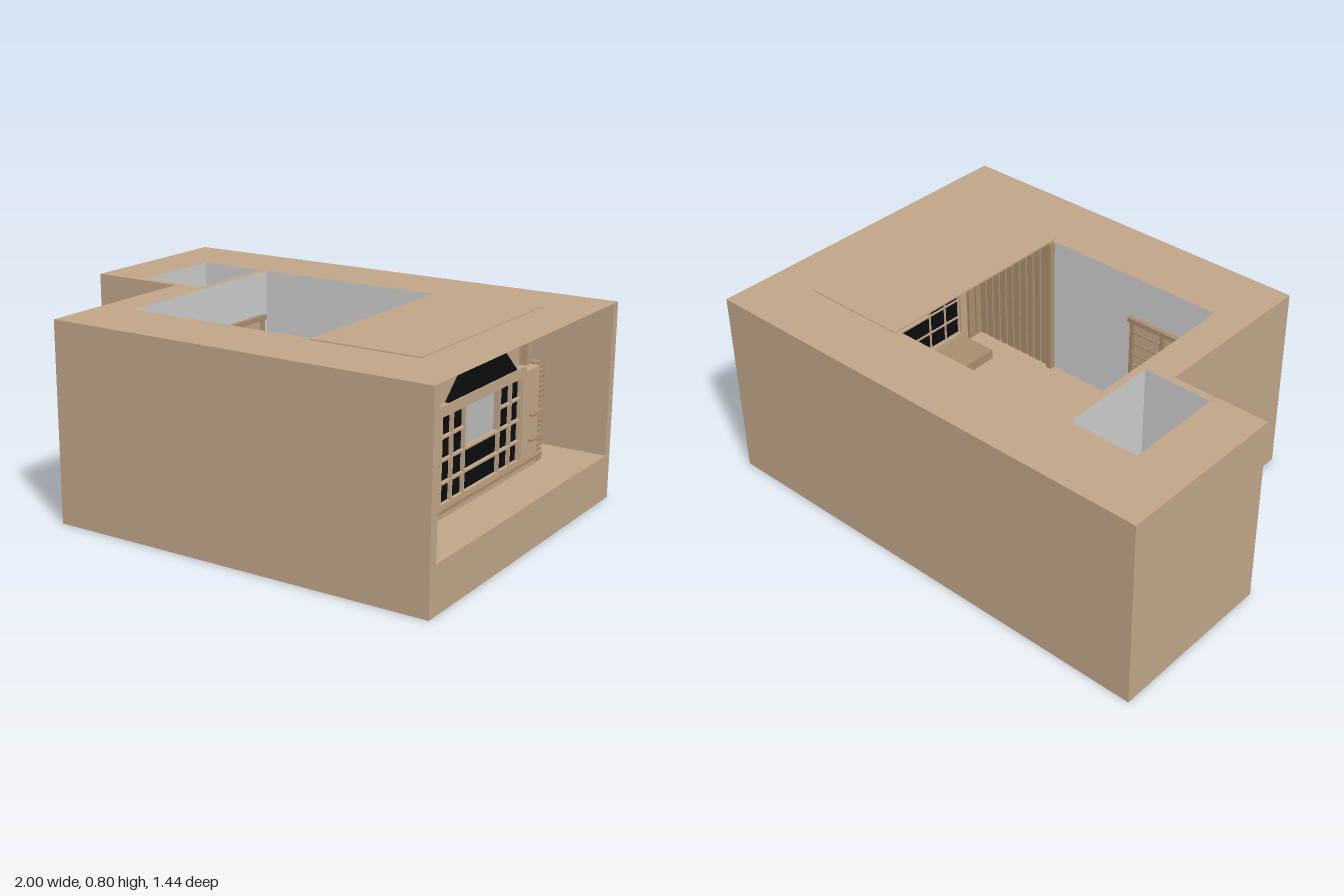
import * as THREE from 'three';

const mat = (color) => new THREE.MeshStandardMaterial({ color, side: THREE.DoubleSide, flatShading: true });

export function createModel() {
  const model = new THREE.Group();
  const tan = mat(0xc0a588), grey = mat(0xcccccc), dark = mat(0x0b0c0d), wood = mat(0xa88d6e);

  const add = (name, geo, m, parent = model) => {
    const mesh = new THREE.Mesh(geo, m);
    mesh.name = name;
    parent.add(mesh);
    return mesh;
  };
  // box given by its limits on each axis
  const box = (name, m, [x0, x1], [y0, y1], [z0, z1], parent) =>
    add(name, new THREE.BoxGeometry(x1 - x0, y1 - y0, z1 - z0)
      .translate((x0 + x1) / 2, (y0 + y1) / 2, (z0 + z1) / 2), m, parent);
  // closed band between two outlines [x, z] at two heights
  const band = (lo, y0, hi, y1, skip = -1) => {
    const p = [];
    lo.forEach((a, i) => {
      if (i === skip) return;
      const j = (i + 1) % lo.length, b = lo[j], c = hi[j], d = hi[i];
      p.push(a[0], y0, a[1], d[0], y1, d[1], c[0], y1, c[1],
        a[0], y0, a[1], c[0], y1, c[1], b[0], y0, b[1]);
    });
    const g = new THREE.BufferGeometry();
    g.setAttribute('position', new THREE.Float32BufferAttribute(p, 3));
    g.computeVertexNormals();
    return g;
  };
  const rect = (x0, x1, z0, z1) => [[x0, z0], [x1, z0], [x1, z1], [x0, z1]];
  const toShape = (pts, holes = []) => {
    const s = new THREE.Shape(pts.map(([a, b]) => new THREE.Vector2(a, b)));
    holes.forEach(h => s.holes.push(new THREE.Path(h.map(([a, b]) => new THREE.Vector2(a, b)))));
    return s;
  };
  // horizontal sheet from an [x, z] outline
  const sheet = (pts, y, holes) =>
    new THREE.ShapeGeometry(toShape(pts, holes)).rotateX(Math.PI / 2).translate(0, y, 0);
  // upright plate from a [z, y] outline, facing the +x end
  const plate = (pts, holes, x, t) =>
    new THREE.ExtrudeGeometry(toShape(pts.map(([z, y]) => [-z, y]),
      holes.map(h => h.map(([z, y]) => [-z, y]))), { depth: t, bevelEnabled: false })
      .rotateY(Math.PI / 2).translate(x, 0, 0);

  // outer shell, open at the +x end, with a hollow tapered base
  const outline = [[-1, -0.72], [1, -0.72], [1, 0.72], [-0.6, 0.72], [-0.6, 0], [-1, 0]];
  const inset = [[-0.82, -0.43], [0.76, -0.43], [0.76, 0.43], [-0.48, 0.43], [-0.51, -0.01], [-0.82, -0.07]];
  add('outerWalls', band(outline, 0, outline, 0.8, 1), tan);
  add('baseTaper', band(outline, 0, inset, 0.09), tan);
  add('baseUnderside', sheet(inset, 0.09), tan);

  // roof with openings over the room and the entry shaft
  const room = rect(-0.46, 0.35, -0.44, 0.43), shaft = rect(-0.78, -0.49, -0.44, -0.03);
  add('roof', sheet(outline, 0.8, [room, shaft]), tan);
  box('roofPanel', tan, [0.35, 0.8], [0.797, 0.804], [-0.46, 0.45]);

  // room and shaft linings
  const hall = rect(-0.46, 0.76, -0.44, 0.43);
  add('roomWalls', band(hall, 0.185, hall, 0.8, 1), grey);
  add('roomFloor', sheet(hall, 0.186), tan);
  add('shaftWalls', band(shaft, 0.185, shaft, 0.8), grey);
  add('shaftFloor', sheet(shaft, 0.186), tan);
  box('shaftStep', tan, [-0.71, -0.68], [0.186, 0.21], [-0.44, -0.03]);

  // recess behind the open end
  add('endFrame', plate([[-0.72, 0], [0.72, 0], [0.72, 0.8], [-0.72, 0.8]],
    [[[-0.68, 0.185], [0.68, 0.185], [0.68, 0.799], [-0.68, 0.799]]], 0.995, 0.005), tan);
  box('recessFloor', tan, [0.4, 0.995], [0.175, 0.185], [-0.68, 0.68]);
  for (const s of [-1, 1]) {
    const sorted = (a, b) => [Math.min(s * a, s * b), Math.max(s * a, s * b)];
    box('recessSide', tan, [0.4, 0.995], [0.185, 0.798], sorted(0.68, 0.685));
    box('recessBack', tan, [0.395, 0.4], [0.185, 0.798], sorted(0.44, 0.68));
    box('recessInnerSide', tan, [0.4, 0.77], [0.185, 0.798], sorted(0.442, 0.447));
    // short rails at both ends of the window
    for (const y of [0.3, 0.4]) box('sideRail', wood, [0.815, 0.83], [y - 0.004, y + 0.004], sorted(0.36, 0.465));
  }

  // window wall
  const win = new THREE.Group();
  win.name = 'windowWall';
  model.add(win);
  const opening = [[-0.31, 0.23], [0.31, 0.23], [0.31, 0.56], [-0.31, 0.56]];
  add('wallPlate', plate([[-0.45, 0.185], [0.45, 0.185], [0.45, 0.578], [0.335, 0.578], [0.335, 0.6],
    [-0.335, 0.6], [-0.335, 0.578], [-0.45, 0.578]], [opening], 0.77, 0.04), tan, win);
  box('upperPlate', tan, [0.765, 0.79], [0.6, 0.798], [-0.305, 0.315], win);
  add('upperWindow', plate([[-0.265, 0.6], [0.265, 0.6], [0.135, 0.715], [-0.135, 0.715]], [], 0.785, 0.02), dark, win);
  const rows = [0.23, 0.31, 0.395, 0.48, 0.56];
  // dark panes, leaving the upper middle open
  for (const s of [-1, 1]) {
    box('panes', dark, [0.785, 0.79], [0.23, 0.56], s > 0 ? [0.135, 0.31] : [-0.31, -0.135], win);
    for (const z of [0.135, 0.225, 0.306])
      box('upright', tan, [0.78, 0.805], [0.23, 0.56], [s * z - 0.004, s * z + 0.004], win);
  }
  box('middlePane', dark, [0.785, 0.79], [0.23, 0.395], [-0.135, 0.135], win);
  rows.forEach((y, i) => {
    if (i !== 3) box('crossbar', tan, [0.78, 0.805], [y - 0.004, y + 0.004], [-0.31, 0.31], win);
    else for (const z of [-0.22, 0.22])
      box('crossbar', tan, [0.78, 0.805], [y - 0.004, y + 0.004], [z - 0.09, z + 0.09], win);
  });
  box('sill', wood, [0.81, 0.835], [0.222, 0.234], [-0.45, 0.46], win);
  box('cornerPost', wood, [0.775, 0.805], [0.185, 0.72], [0.435, 0.465], win);

  // slatted shutter beside the window
  box('shutterBack', wood, [0.74, 0.8], [0.185, 0.585], [-0.493, -0.452]);
  for (let i = 0; i < 20; i++)
    box('shutterSlat', wood, [0.8, 0.812], [0.19 + i * 0.0197, 0.201 + i * 0.0197], [-0.49, -0.455]);

  // vertical boards lining the alcove under the roof panel
  for (let i = 0; i < 10; i++)
    box('sideBoard', wood, [0.37 + i * 0.039, 0.4 + i * 0.039], [0.19, 0.795], [0.415, 0.43]);
  for (let i = 0; i < 20; i++) {
    const z = -0.43 + i * 0.043;
    box('endBoard', wood, [0.752, 0.766], [Math.abs(z + 0.015) < 0.33 ? 0.6 : 0.19, 0.795], [z, z + 0.034]);
  }
  box('alcovePost', wood, [0.34, 0.365], [0.186, 0.797], [0.405, 0.43]);
  box('alcoveBench', wood, [0.58, 0.75], [0.186, 0.23], [-0.3, 0.3]);

  // lattice door, built upright in its own plane
  const door = (name, w) => {
    const g = new THREE.Group();
    g.name = name;
    box('doorPanel', tan, [-w / 2, w / 2], [0.186, 0.6], [0, 0.006], g);
    for (const x of [-w / 2, 0, w / 2]) box('doorFrame', wood, [x - 0.01, x + 0.01], [0.186, 0.61], [0, 0.016], g);
    box('doorHead', wood, [-w / 2 - 0.02, w / 2 + 0.02], [0.6, 0.62], [0, 0.02], g);
    for (let i = 1; i < 8; i++)
      box('doorBar', wood, [-w / 2, w / 2], [0.186 + i * 0.052, 0.193 + i * 0.052], [0, 0.012], g);
    model.add(g);
    return g;
  };
  const entry = door('entryDoor', 0.28);
  entry.rotation.y = Math.PI / 2;
  entry.position.set(-0.459, 0, -0.25);
  const side = door('sideDoor', 0.3);
  side.rotation.y = Math.PI;
  side.position.set(-0.23, 0, 0.429);

  return model;
}
